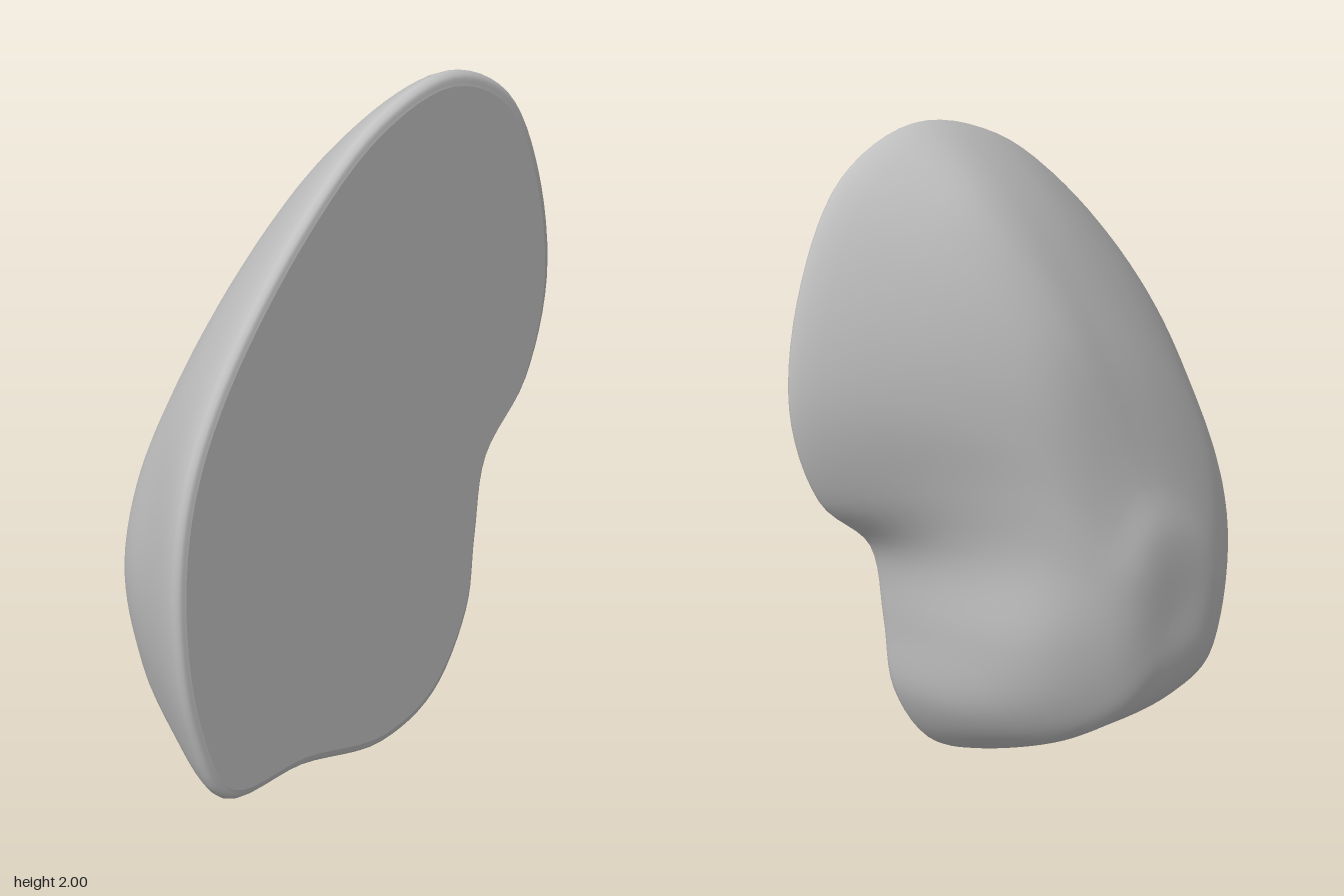
import * as THREE from 'three';
import { mergeVertices } from 'three/addons/utils/BufferGeometryUtils.js';

// Contours (x, y pairs) of the stone, anticlockwise from the bottom, matched point by point
const rim = [0.05, 0, 0.28, 0.07, 0.43, 0.3, 0.46, 0.55, 0.5, 0.8, 0.68, 1.0, 0.765, 1.3, 0.7, 1.65, 0.55, 1.9,
  0.3, 2.0, 0, 1.92, -0.3, 1.69, -0.6, 1.33, -0.73, 1.05, -0.77, 0.72, -0.72, 0.35, -0.6, 0.1, -0.3, 0.075];
const flank = [0.05, 0.07, 0.24, 0.13, 0.37, 0.3, 0.4, 0.55, 0.4, 0.8, 0.47, 1.03, 0.53, 1.28, 0.51, 1.52, 0.42, 1.72,
  0.27, 1.83, 0.03, 1.76, -0.24, 1.56, -0.49, 1.27, -0.61, 1.02, -0.67, 0.72, -0.63, 0.38, -0.53, 0.15, -0.27, 0.11];
const shoulder = [0.02, 0.18, 0.14, 0.2, 0.24, 0.34, 0.28, 0.55, 0.25, 0.8, 0.26, 1.0, 0.27, 1.17, 0.26, 1.32, 0.22, 1.42,
  0.13, 1.47, 0, 1.42, -0.17, 1.31, -0.36, 1.12, -0.49, 0.93, -0.56, 0.68, -0.53, 0.42, -0.45, 0.23, -0.25, 0.18];
const crown = [-0.04, 0.26, 0.04, 0.29, 0.1, 0.4, 0.13, 0.55, 0.12, 0.72, 0.1, 0.81, 0.06, 0.88, 0.03, 0.93, 0, 0.96,
  -0.05, 0.98, -0.12, 0.97, -0.2, 0.93, -0.3, 0.85, -0.38, 0.75, -0.43, 0.62, -0.42, 0.44, -0.36, 0.31, -0.22, 0.26];

const AROUND = 108;

// Smooth closed ring through one contour at depth z, scaled about a centre
function ring(contour, z, scale = 1, cx = 0, cy = 0.9) {
  const pts = [];
  for (let i = 0; i < contour.length; i += 2) {
    pts.push(new THREE.Vector3(cx + (contour[i] - cx) * scale, cy + (contour[i + 1] - cy) * scale, z));
  }
  const curve = new THREE.CatmullRomCurve3(pts, true, 'centripetal');
  return Array.from({ length: AROUND }, (_, i) => curve.getPoint(i / AROUND));
}

// Skin a list of rings running from front to back
function skin(rings) {
  const positions = [], index = [];
  rings.forEach(r => r.forEach(p => positions.push(p.x, p.y, p.z)));
  for (let j = 0; j < rings.length - 1; j++) {
    for (let i = 0; i < AROUND; i++) {
      const k = (i + 1) % AROUND;
      const a = j * AROUND + i, b = a + AROUND, c = (j + 1) * AROUND + k, d = j * AROUND + k;
      index.push(a, b, c, a, c, d);
    }
  }
  let geometry = new THREE.BufferGeometry();
  geometry.setAttribute('position', new THREE.Float32BufferAttribute(positions, 3));
  geometry.setIndex(index);
  geometry = mergeVertices(geometry, 1e-5);
  geometry.computeVertexNormals();
  return geometry;
}

export function createModel() {
  const model = new THREE.Group();
  model.name = 'stone';
  const grey = new THREE.MeshStandardMaterial({ color: 0xc0c0c0 });
  grey.name = 'stoneGrey';

  // Domed back with a rolled rim, interpolated smoothly between the contours
  const keys = [
    ring(rim, 0.3, 0.965), ring(rim, 0.293, 0.99), ring(rim, 0.268), ring(flank, 0.05), ring(shoulder, -0.15),
    ring(crown, -0.255), ring(crown, -0.3, 0.6, -0.17, 0.57), ring(crown, -0.303, 0, -0.17, 0.57),
  ];
  const STEPS = 42;
  const lines = keys[0].map((_, i) => new THREE.CatmullRomCurve3(keys.map(k => k[i]), false, 'centripetal'));
  const rings = Array.from({ length: STEPS + 1 }, (_, j) => lines.map(line => line.getPoint(j / STEPS)));
  const body = new THREE.Mesh(skin(rings), grey);
  body.name = 'domedBody';
  model.add(body);

  // Flat cut front
  const face = new THREE.Mesh(skin([ring(rim, 0.3, 0), ring(rim, 0.3, 0.965)]), grey);
  face.name = 'flatFace';
  model.add(face);
  return model;
}
